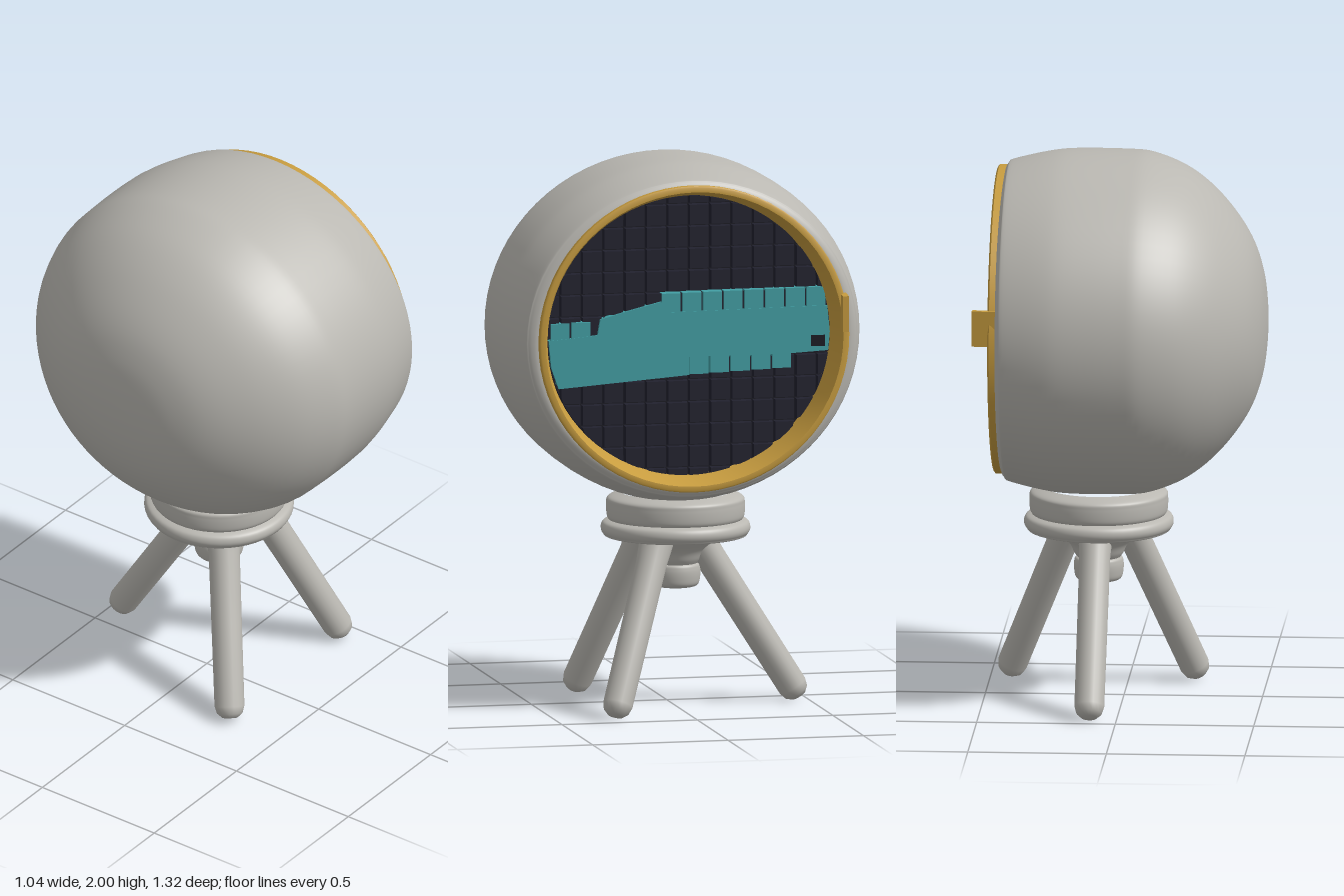
import * as THREE from 'three';

const mat = (name, color) => {
  const m = new THREE.MeshStandardMaterial({ color });
  m.name = name;
  return m;
};
const V2 = (x, y) => new THREE.Vector2(x, y);

export function createModel() {
  const shell = mat('warm grey shell', 0xbab8b2);
  const gold = mat('gold trim', 0xc79c3f);
  const navy = mat('dark navy tile', 0x20202d);
  const grout = mat('dark grout', 0x171720);
  const teal = mat('teal band', 0x419ea3);

  const model = new THREE.Group();
  const add = (parent, name, geo, material, x = 0, y = 0, z = 0) => {
    const mesh = new THREE.Mesh(geo, material);
    mesh.name = name;
    mesh.position.set(x, y, z);
    parent.add(mesh);
    return mesh;
  };
  const CY = 1.379; // height of the housing axis
  const WIDE = 1.025; // the opening is slightly wider than tall

  // Rounded housing, turned around the x axis and slightly squashed in height
  const profile = new THREE.SplineCurve([
    [0, -0.52], [0.1, -0.515], [0.205, -0.5], [0.315, -0.465], [0.42, -0.405], [0.522, -0.32],
    [0.6, -0.22], [0.65, -0.1], [0.66, 0], [0.66, 0.18], [0.648, 0.28], [0.618, 0.4],
    [0.605, 0.42], [0.585, 0.43], [0.568, 0.431],
  ].map(([r, x]) => V2(r, x))).getPoints(70);
  profile[0].x = 0;
  const housing = add(model, 'housing', new THREE.LatheGeometry(profile, 72), shell, 0, CY, 0);
  housing.rotation.z = -Math.PI / 2;
  housing.scale.x = 0.941;

  // Gold bezel: outer edge, front lip and funnel running back to the screen
  const lips = [[[0.557, 0.4], [0.558, 0.452]], [[0.558, 0.452], [0.552, 0.458], [0.536, 0.457]],
    [[0.536, 0.457], [0.518, 0.4], [0.506, 0.32]]];
  const bezel = new THREE.Group();
  bezel.name = 'bezel';
  bezel.position.y = CY + 0.003;
  bezel.rotation.z = -Math.PI / 2;
  bezel.scale.z = WIDE;
  model.add(bezel);
  lips.forEach((pts, i) => add(bezel, ['bezelEdge', 'bezelLip', 'bezelFunnel'][i],
    new THREE.LatheGeometry(pts.map(([r, x]) => V2(r, x)), 72), gold));
  const tab = add(model, 'bezelTab', new THREE.BoxGeometry(0.115, 0.13, 0.022), gold, 0.457, 1.465, -0.551);
  tab.rotation.y = -0.1;

  // Screen group: local x runs across, local z points out of the opening
  const screen = new THREE.Group();
  screen.name = 'screen';
  screen.position.set(0.335, CY + 0.003, 0);
  screen.rotation.y = Math.PI / 2;
  screen.scale.x = WIDE;
  model.add(screen);
  const R = 0.508;
  add(screen, 'screenBacking', new THREE.CircleGeometry(R + 0.004, 64), grout);

  // Pillow tile: a box with its front face drawn in, its corners held inside the round screen
  const tile = (name, u0, u1, v0, v1, depth, material) => {
    const geo = new THREE.BoxGeometry(u1 - u0, v1 - v0, depth, 3, 3, 1);
    const p = geo.attributes.position;
    for (let i = 0; i < p.count; i++) {
      const draw = p.getZ(i) > 0 ? 0.93 : 1;
      const q = V2(p.getX(i) * draw + (u0 + u1) / 2, p.getY(i) * draw + (v0 + v1) / 2).clampLength(0, R);
      p.setXYZ(i, q.x, q.y, p.getZ(i) + depth / 2);
    }
    geo.computeVertexNormals();
    add(screen, name, geo, material);
  };
  const PU = 0.077, PV = 0.08, GAP = 0.002;
  for (let i = -7; i < 7; i++) {
    for (let j = -7; j < 7; j++) {
      const near = Math.hypot(Math.max(i, -i - 1) * PU, Math.max(j, -j - 1) * PV);
      if (near > R - 0.012) continue;
      tile('darkTile', i * PU + GAP, (i + 1) * PU - GAP, j * PV + GAP, (j + 1) * PV - GAP, 0.022, navy);
    }
  }

  // Teal band across the screen, with loose tiles along its edges
  const band = new THREE.Shape([
    [-0.47, -0.178], [0, -0.142], [0, -0.076], [0.35, -0.076], [0.5, -0.068], [0.506, 0],
    [0.497, 0.095], [-0.09, 0.088], [-0.1, 0.128], [-0.2, 0.103], [-0.32, 0.071], [-0.33, 0.013],
    [-0.506, -0.002], [-0.497, -0.1],
  ].map(([u, v]) => V2(u, v)));
  add(screen, 'tealBand', new THREE.ExtrudeGeometry(band, { depth: 0.034, bevelEnabled: false }), teal);
  const tealRow = (u, count, v, height, rise) => {
    for (let i = 0; i < count; i++) {
      const a = u + i * 0.0745, b = v + i * rise;
      tile('tealTile', a, a + 0.072, b, b + height, 0.031, teal);
    }
  };
  tealRow(-0.5, 2, -0.005, 0.066, 0.003);
  tealRow(-0.1, 8, 0.085, 0.074, 0.001);
  tealRow(0.0, 5, -0.142, 0.068, 0.003);
  add(screen, 'bandNotch', new THREE.BoxGeometry(0.05, 0.04, 0.006), grout, 0.463, -0.032, 0.033);

  // Swivel base under the housing
  const BX = 0.09, BZ = -0.012;
  const turned = (name, pts) => add(model, name,
    new THREE.LatheGeometry(new THREE.SplineCurve(pts.map(([r, y]) => V2(r, y))).getPoints(40), 48),
    shell, BX, 0, BZ);
  turned('baseCollar', [[0.235, 0.67], [0.248, 0.69], [0.25, 0.735], [0.243, 0.758], [0.2, 0.776]]);
  turned('baseFlange', [[0.001, 0.614], [0.12, 0.614], [0.24, 0.615], [0.262, 0.626], [0.27, 0.646],
    [0.262, 0.668], [0.235, 0.68]]);

  // Hub and knob between the legs
  turned('hub', [[0.07, 0.505], [0.088, 0.53], [0.11, 0.57], [0.165, 0.62]]);
  turned('knob', [[0.001, 0.429], [0.06, 0.43], [0.082, 0.44], [0.089, 0.467], [0.089, 0.498],
    [0.08, 0.516], [0.04, 0.522]]);

  // Three splayed legs with blunt, chamfered feet
  const legs = [
    [[-0.005, 0.63, 0.077], [-0.253, 0.016, 0.289]],
    [[0.195, 0.63, 0.077], [0.435, 0.016, 0.289]],
    [[0.097, 0.63, -0.077], [0.097, 0.016, -0.466]],
  ];
  for (const [top, foot] of legs) {
    const a = new THREE.Vector3(...foot), b = new THREE.Vector3(...top);
    const dir = b.sub(a);
    const len = dir.length();
    const leg = add(model, 'leg', new THREE.LatheGeometry([
      V2(0, 0), V2(0.028, 0.002), V2(0.046, 0.018), V2(0.054, 0.045), V2(0.055, len * 0.5),
      V2(0.056, len * 0.85), V2(0.064, len),
    ], 20), shell, ...foot);
    leg.quaternion.setFromUnitVectors(new THREE.Vector3(0, 1, 0), dir.normalize());
  }
  return model;
}
